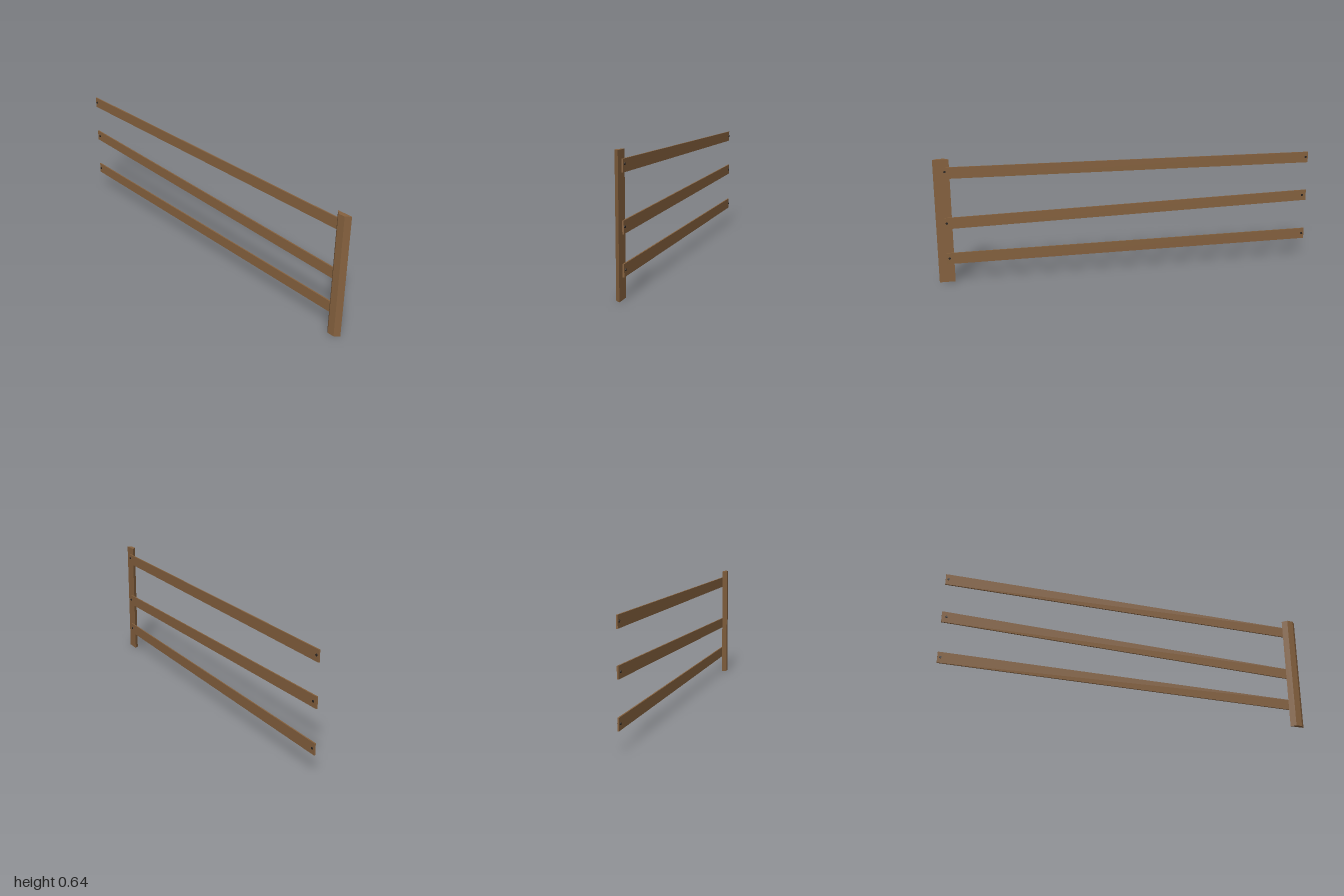
import * as THREE from 'three';

export function createModel() {
  const group = new THREE.Group();
  const wood = new THREE.MeshStandardMaterial({ color: 0x85613e });
  wood.name = 'brown wood';
  const iron = new THREE.MeshStandardMaterial({ color: 0x2a2420 });
  iron.name = 'dark iron';

  const add = (name, geometry, material) => {
    const mesh = new THREE.Mesh(geometry, material);
    mesh.name = name;
    group.add(mesh);
    return mesh;
  };

  // Split-log post: flat towards the rails, faceted behind (profile in x, -z)
  const profile = [[0.006, 0.92], [0.006, 1], [-0.0165, 0.978], [-0.018, 0.943]];
  const shape = new THREE.Shape(profile.map(([x, z]) => new THREE.Vector2(x, -z)));
  const post = new THREE.ExtrudeGeometry(shape, { depth: 0.641, bevelEnabled: false });
  post.rotateX(-Math.PI / 2);
  add('post', post, wood);

  // Rails, each slightly sloped, with a nail through both ends
  const zNear = 0.957, zFar = -1, height = 0.058;
  const rails = [
    { name: 'lowerRail', near: 0.1265, far: 0.1305, nails: [[0.128, 0.943], [0.131, -0.986]] },
    { name: 'middleRail', near: 0.3125, far: 0.3515, nails: [[0.314, 0.947], [0.352, -0.977]] },
    { name: 'upperRail', near: 0.573, far: 0.5645, nails: [[0.58, 0.943], [0.566, -0.986]] },
  ];
  for (const { name, near, far, nails } of rails) {
    const board = new THREE.BoxGeometry(0.007, height, zNear - zFar);
    board.translate(0.0095, 0, (zNear + zFar) / 2);
    // Shear the board so its ends stay upright
    const p = board.attributes.position;
    for (let i = 0; i < p.count; i++) {
      p.setY(i, p.getY(i) + (p.getZ(i) > 0 ? near : far));
    }
    board.computeVertexNormals();
    add(name, board, wood);

    for (const [y, z] of nails) {
      const nail = new THREE.CylinderGeometry(0.006, 0.006, 0.015, 8);
      nail.rotateZ(-Math.PI / 2);
      add('nail', nail, iron).position.set(0.0095, y, z);
    }
  }
  return group;
}
